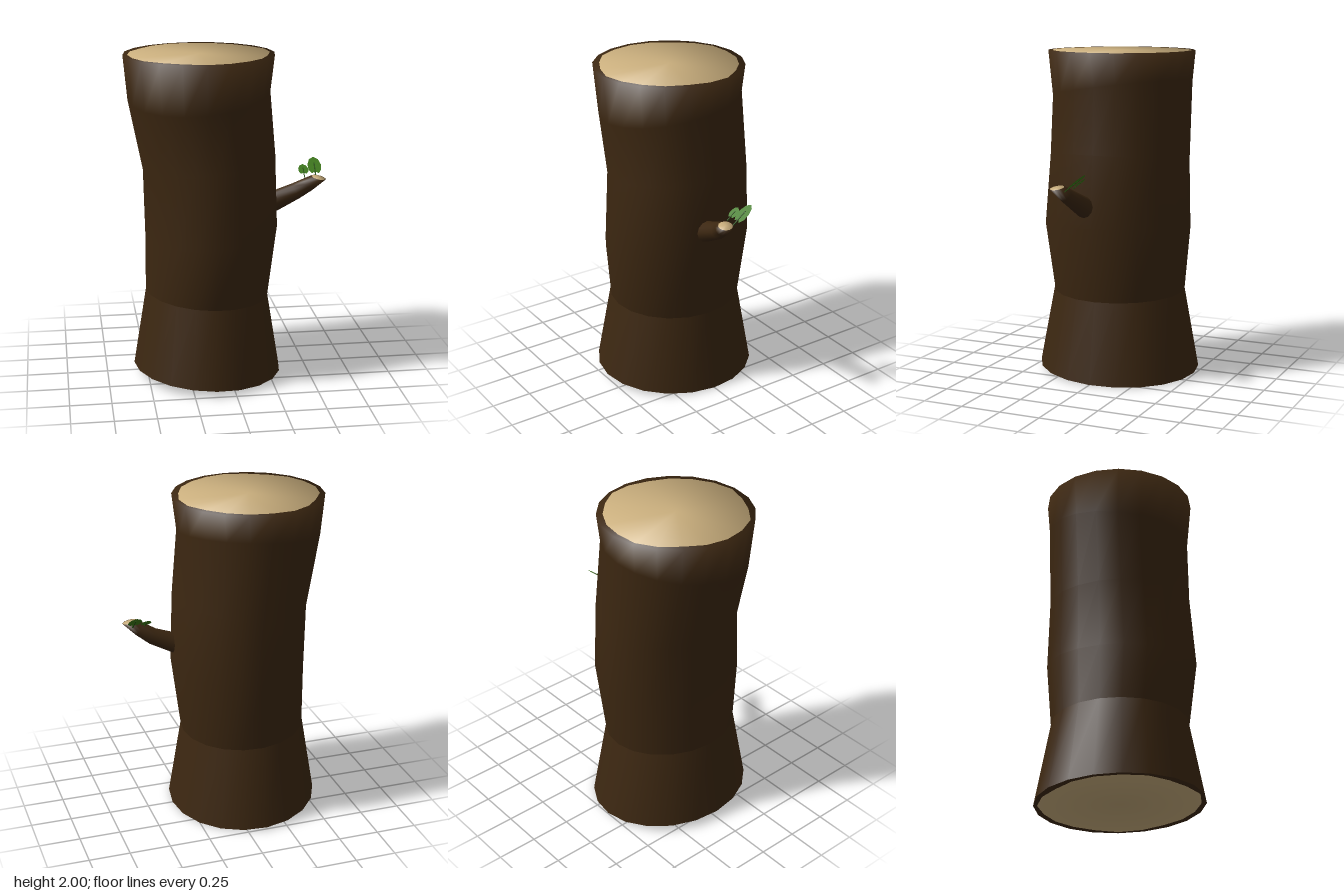
import * as THREE from 'three';

const V = (x, y, z) => new THREE.Vector3(x, y, z);
const SIDES = 20;

// Ring of the trunk: height, centre x, radius x, centre z, radius z, tilt toward +x, tilt toward +z
function trunkRing([y, cx, rx, cz, rz, tx, tz]) {
  return Array.from({ length: SIDES }, (_, i) => {
    const a = (i / SIDES) * Math.PI * 2, c = Math.cos(a), s = -Math.sin(a);
    return V(cx + rx * c, y + tx * c + tz * s, cz + rz * s);
  });
}

// Ring around a direction, for the branch
function branchRing(centre, radius, dir, n = 12) {
  const d = dir.clone().normalize();
  const v = V(0, 0, -1).addScaledVector(d, d.z).normalize();
  const u = v.clone().cross(d);
  return Array.from({ length: n }, (_, i) => {
    const a = (i / n) * Math.PI * 2;
    return centre.clone().addScaledVector(u, radius * Math.cos(a)).addScaledVector(v, radius * Math.sin(a));
  });
}

const middle = ring => ring.reduce((m, p) => m.add(p), V(0, 0, 0)).divideScalar(ring.length);
const rimNormal = (p, c, dir) => p.clone().sub(c).normalize().add(dir).normalize();

// Smooth skin through rings; softTop blends the last ring into its cap
function loft(rings, softTop) {
  const n = rings[0].length, index = [];
  for (let i = 0; i < rings.length - 1; i++) {
    for (let j = 0; j < n; j++) {
      const a = i * n + j, b = i * n + (j + 1) % n;
      index.push(a, b, b + n, a, b + n, a + n);
    }
  }
  const g = new THREE.BufferGeometry().setFromPoints(rings.flat());
  g.setIndex(index);
  g.computeVertexNormals();
  if (softTop) {
    const top = rings[rings.length - 1], c = middle(top);
    top.forEach((p, j) => {
      const k = rimNormal(p, c, softTop);
      g.attributes.normal.setXYZ((rings.length - 1) * n + j, k.x, k.y, k.z);
    });
  }
  return g;
}

// Cut end: wood face (group 0) inside a bark rim (group 1), softly rounded normals
function cutEnd(ring, dir, inset, flip) {
  const n = ring.length, c = middle(ring), pts = [c], normals = [dir], wood = [], bark = [];
  for (const outer of [false, true]) {
    ring.forEach((p, j) => {
      const s = outer ? 1 : inset(j / n * Math.PI * 2);
      pts.push(c.clone().lerp(p, s));
      normals.push(dir.clone().lerp(rimNormal(p, c, dir), s).normalize());
    });
  }
  const tri = (list, a, b, d) => flip ? list.push(a, d, b) : list.push(a, b, d);
  for (let j = 0; j < n; j++) {
    const a = 1 + j, b = 1 + (j + 1) % n;
    tri(wood, 0, a, b);
    tri(bark, a, a + n, b + n);
    tri(bark, a, b + n, b);
  }
  const g = new THREE.BufferGeometry().setFromPoints(pts);
  g.setAttribute('normal', new THREE.Float32BufferAttribute(normals.flatMap(k => k.toArray()), 3));
  g.setIndex([...wood, ...bark]);
  g.addGroup(0, wood.length, 0);
  g.addGroup(wood.length, bark.length, 1);
  return g;
}

export function createModel() {
  const material = (name, color, side = THREE.FrontSide) => {
    const m = new THREE.MeshStandardMaterial({ color, side });
    m.name = name;
    return m;
  };
  const bark = material('bark', 0x3c2711);
  const wood = material('cut wood', 0xc9ae7d);
  const green = material('leaf green', 0x3c7a12, THREE.DoubleSide);
  const darkGreen = material('stem green', 0x24500c);

  const model = new THREE.Group();
  model.name = 'log';
  const add = (parent, name, geometry, mat) => {
    const m = new THREE.Mesh(geometry, mat);
    m.name = name;
    parent.add(m);
    return m;
  };

  // Trunk: flared foot, then the wavering upper length
  const rings = [
    [0.028, -0.12, 0.46, 0, 0.507, -0.025, 0.012],
    [0.52, -0.12, 0.38, 0, 0.415, -0.02, 0],
    [0.92, -0.09, 0.407, 0, 0.46, 0.04, -0.01],
    [1.35, -0.1, 0.405, -0.01, 0.435, 0.05, 0],
    [1.765, -0.16, 0.43, 0, 0.433, 0.035, -0.06],
    [2, -0.16, 0.455, 0.005, 0.455, 0, 0],
  ].map(trunkRing);
  const up = V(0, 1, 0), down = V(0, -1, 0);
  const wavy = a => 0.93 + 0.018 * Math.sin(4 * a + 0.6) + 0.012 * Math.sin(7 * a);
  add(model, 'trunkFoot', loft(rings.slice(0, 2)), bark);
  add(model, 'trunk', loft(rings.slice(1), up), bark);
  add(model, 'topCut', cutEnd(rings[5], up, wavy), [wood, bark]);
  add(model, 'bottomCut', cutEnd(rings[0], down, wavy, true), [wood, bark]);

  // Branch stub
  const tip = V(0.2, 1, 0.1).normalize();
  const stub = [
    branchRing(V(0.26, 1.07, 0.045), 0.066, V(1, 0.35, 0)),
    branchRing(V(0.43, 1.145, 0.047), 0.052, V(1, 0.5, 0.1)),
    branchRing(V(0.5, 1.19, 0.07), 0.045, V(0.7, 0.7, 0.3)),
    branchRing(V(0.56, 1.237, 0.095), 0.046, tip),
  ];
  add(model, 'branch', loft(stub, tip), bark);
  add(model, 'branchCut', cutEnd(stub[3], tip, () => 0.93), [wood, bark]);

  // Leaves: blade with a notched base, stem and mid vein
  const half = [[0, 0.06], [0.022, 0.045], [0.04, 0.075], [0.042, 0.115], [0.028, 0.155], [0, 0.174]];
  const outline = [...half, ...half.slice(1, -1).reverse().map(([x, y]) => [-x, y])];
  const blade = new THREE.ShapeGeometry(new THREE.Shape(outline.map(([x, y]) => new THREE.Vector2(x, y))));
  const stem = new THREE.BoxGeometry(0.007, 0.125, 0.005).translate(0, 0.0625, 0);
  const addLeaf = (name, x, y, z, sx, sy, roll) => {
    const leaf = new THREE.Group();
    leaf.name = name;
    add(leaf, 'blade', blade, green);
    add(leaf, 'stem', stem, darkGreen);
    leaf.position.set(x, y, z);
    leaf.rotation.set(-0.89, 0, roll);
    leaf.scale.set(sx, sy, 1);
    model.add(leaf);
  };
  addLeaf('largeLeaf', 0.556, 1.215, 0.05, 1, 1, -0.03);
  addLeaf('smallLeaf', 0.487, 1.225, 0.03, 0.75, 0.58, 0);

  return model;
}
